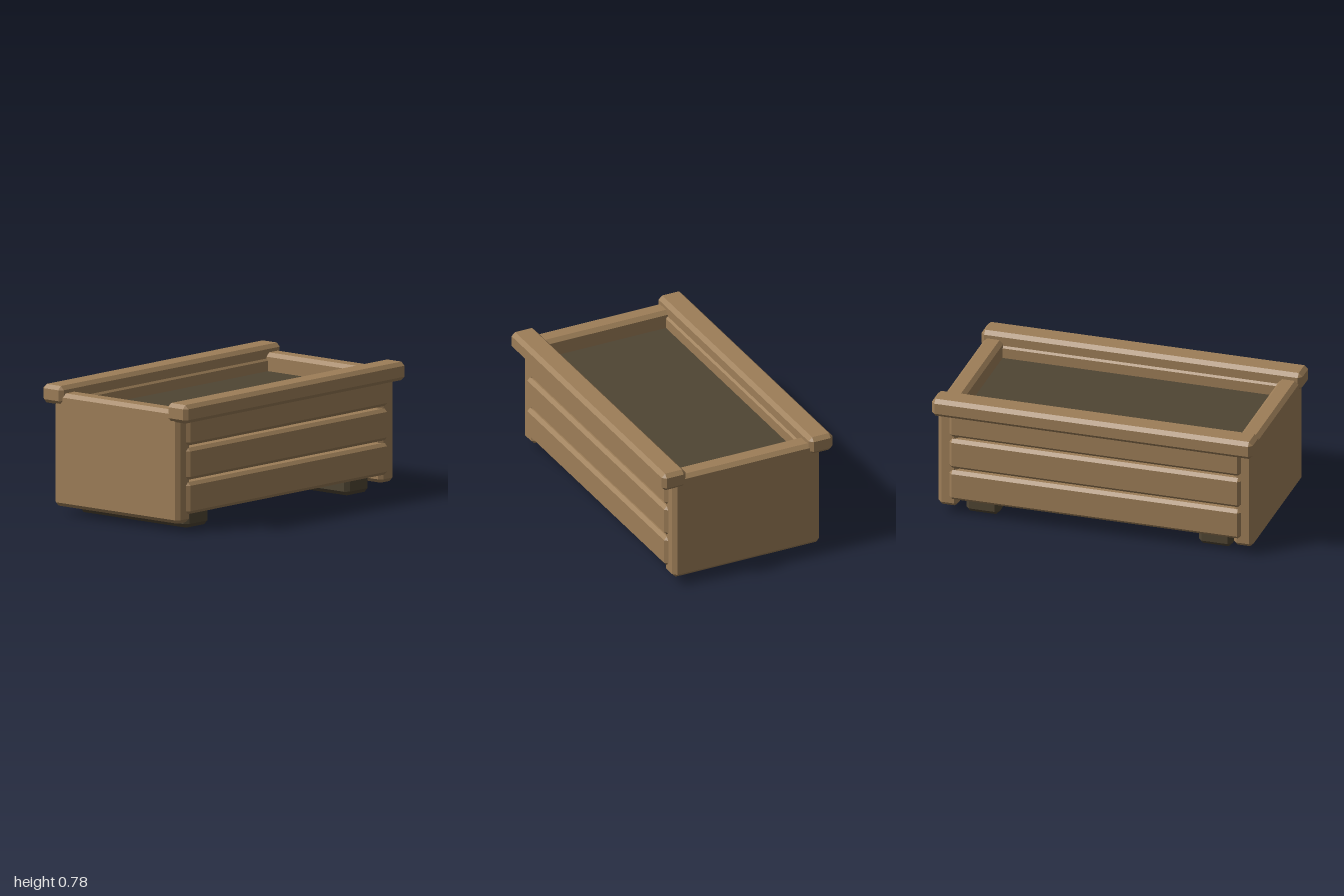
import * as THREE from 'three';
import { ConvexGeometry } from 'three/addons/geometries/ConvexGeometry.js';

// Box with chamfered edges, given as min/max pairs per axis
function chamferBox([x0, x1], [y0, y1], [z0, z1], c = 0.023) {
  const half = [(x1 - x0) / 2, (y1 - y0) / 2, (z1 - z0) / 2];
  const points = [];
  for (const sx of [-1, 1]) for (const sy of [-1, 1]) for (const sz of [-1, 1]) {
    // each corner becomes three points, one on each adjoining face
    for (let axis = 0; axis < 3; axis++) {
      const [a, b, d] = half.map((h, i) => (i === axis ? h : h - c));
      points.push(new THREE.Vector3(sx * a, sy * b, sz * d));
    }
  }
  return new ConvexGeometry(points).translate((x0 + x1) / 2, (y0 + y1) / 2, (z0 + z1) / 2);
}

export function createModel() {
  const group = new THREE.Group();
  const wood = new THREE.MeshStandardMaterial({ name: 'wood', color: 0x9d7e58 });
  const dark = new THREE.MeshStandardMaterial({ name: 'darkSoilBrown', color: 0x4f4533 });

  const add = (name, geometry, material) => {
    const mesh = new THREE.Mesh(geometry, material);
    mesh.name = name;
    group.add(mesh);
  };
  const span = (s, a, b) => (s > 0 ? [a, b] : [-b, -a]);

  for (const s of [1, -1]) {
    const side = s > 0 ? 'left' : 'right';
    const face = s > 0 ? 'front' : 'back';

    // End panels and the runners beneath
    add(side + 'EndPanel', chamferBox(span(s, 0.858, 0.982), [0.052, 0.736], [-0.491, 0.491]), wood);
    add(side + 'Foot', chamferBox(span(s, 0.62, 0.83), [0, 0.17], [-0.43, 0.43], 0.025), dark);

    // Three slats on each long side
    for (let i = 0; i < 3; i++) {
      const y = 0.103 + i * 0.207;
      add(face + 'Slat' + (i + 1), chamferBox([-0.91, 0.91], [y, y + 0.193], span(s, 0.4, 0.51), 0.02), wood);
    }

    // Overhanging top rail
    add(face + 'Rail', chamferBox([-1, 1], [0.668, 0.78], span(s, 0.412, 0.57)), wood);
  }

  // Soil bed, open space underneath
  add('soil', new THREE.BoxGeometry(1.72, 0.105, 0.81).translate(0, 0.5745, 0), dark);

  return group;
}
